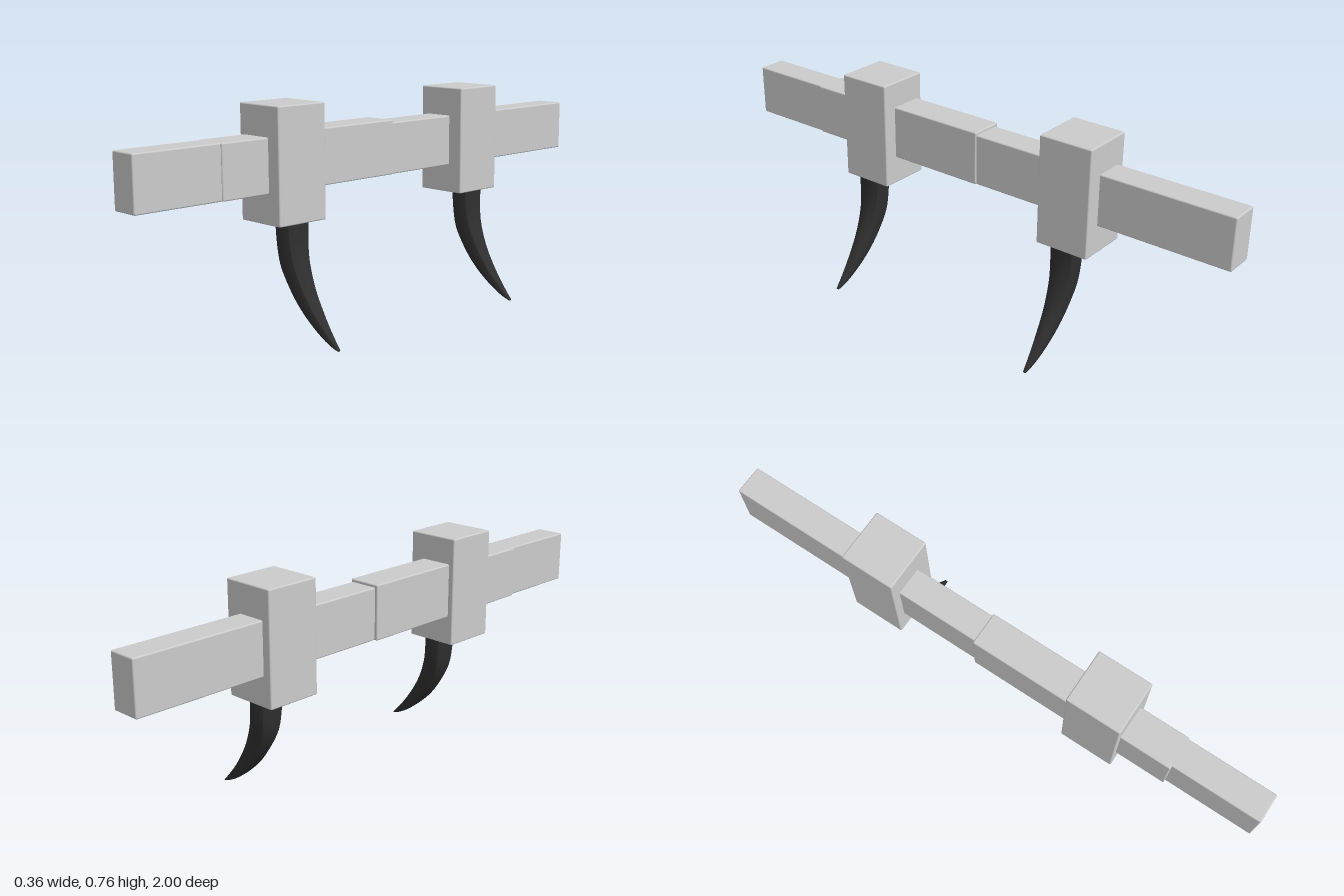
import * as THREE from 'three';
import { toCreasedNormals } from 'three/addons/utils/BufferGeometryUtils.js';
import { RoundedBoxGeometry } from 'three/addons/geometries/RoundedBoxGeometry.js';

const grey = new THREE.MeshStandardMaterial({ color: 0xcccccc });
const dark = new THREE.MeshStandardMaterial({ color: 0x2f2f2f });

// Slightly bevelled box given by its limits on each axis
function block(name, [x0, x1], [y0, y1], [z0, z1]) {
  const geo = new RoundedBoxGeometry(x1 - x0, y1 - y0, z1 - z0, 2, 0.005);
  const mesh = new THREE.Mesh(geo, grey);
  mesh.name = name;
  mesh.position.set((x0 + x1) / 2, (y0 + y1) / 2, (z0 + z1) / 2);
  return mesh;
}

// Claw lofted between its outer and inner edges, with bevelled cross-sections
function clawGeometry() {
  const curve = (pts) => new THREE.CatmullRomCurve3(pts.map((p) => new THREE.Vector3(...p)));
  // x, y and half width in z
  const outer = curve([
    [-0.082, 0.42, 0.051], [-0.082, 0.387, 0.05], [-0.078, 0.31, 0.047], [-0.068, 0.245, 0.042],
    [-0.04, 0.188, 0.036], [0, 0.13, 0.03], [0.05, 0.08, 0.024], [0.11, 0.034, 0.016],
    [0.15, 0.012, 0.01], [0.175, 0.003, 0.005],
  ]);
  const inner = curve([
    [0.001, 0.42, 0], [0.001, 0.387, 0], [0.002, 0.33, 0], [0.01, 0.275, 0],
    [0.03, 0.215, 0], [0.055, 0.165, 0], [0.09, 0.11, 0], [0.125, 0.065, 0],
    [0.155, 0.031, 0], [0.178, 0.007, 0],
  ]);
  // u runs from the outer to the inner edge, w across
  const section = [
    [1, 0], [0.98, 0.45], [0.88, 0.85], [0.7, 1], [0.3, 1], [0.12, 0.85], [0.02, 0.45],
    [0, 0], [0.02, -0.45], [0.12, -0.85], [0.3, -1], [0.7, -1], [0.88, -0.85], [0.98, -0.45],
  ];
  const n = section.length, rows = 27;
  const pos = [], index = [];
  for (let i = 0; i <= rows; i++) {
    const a = outer.getPoint(i / rows), b = inner.getPoint(i / rows);
    for (const [u, w] of section) {
      pos.push(a.x + (b.x - a.x) * u, a.y + (b.y - a.y) * u, a.z * w);
    }
  }
  for (let i = 0; i < rows; i++) {
    for (let j = 0; j < n; j++) {
      const p = i * n + j, q = i * n + (j + 1) % n;
      index.push(p, q, p + n, q, q + n, p + n);
    }
  }
  // End caps
  const last = rows * n;
  for (let j = 1; j < n - 1; j++) {
    index.push(0, j + 1, j, last, last + j, last + j + 1);
  }
  const geo = new THREE.BufferGeometry();
  geo.setAttribute('position', new THREE.Float32BufferAttribute(pos, 3));
  geo.setIndex(index);
  return toCreasedNormals(geo, 0.6);
}

export function createModel() {
  const model = new THREE.Group();

  // Bar made of slim lengths and two thicker sleeves
  const slim = [-0.152, -0.049], sleeve = [-0.163, -0.044];
  const height = [0.487, 0.667];
  model.add(
    block('barFront', slim, height, [0.68, 1]),
    block('sleeveFront', sleeve, height, [0.42, 0.688]),
    block('sleeveMiddle', sleeve, [0.487, 0.677], [-0.045, 0.42]),
    block('barMiddle', slim, height, [-0.44, -0.035]),
    block('barBack', slim, height, [-1, -0.44]),
  );

  // Two clamp blocks, each carrying a claw
  const claw = clawGeometry();
  [['Front', 0.412, 0.42], ['Back', -0.435, -0.427]].forEach(([end, zBlock, zClaw]) => {
    model.add(block('clamp' + end, [-0.183, 0.007], [0.387, 0.768], [zBlock - 0.097, zBlock + 0.097]));
    const mesh = new THREE.Mesh(claw, dark);
    mesh.name = 'claw' + end;
    mesh.position.z = zClaw;
    model.add(mesh);
  });
  return model;
}
